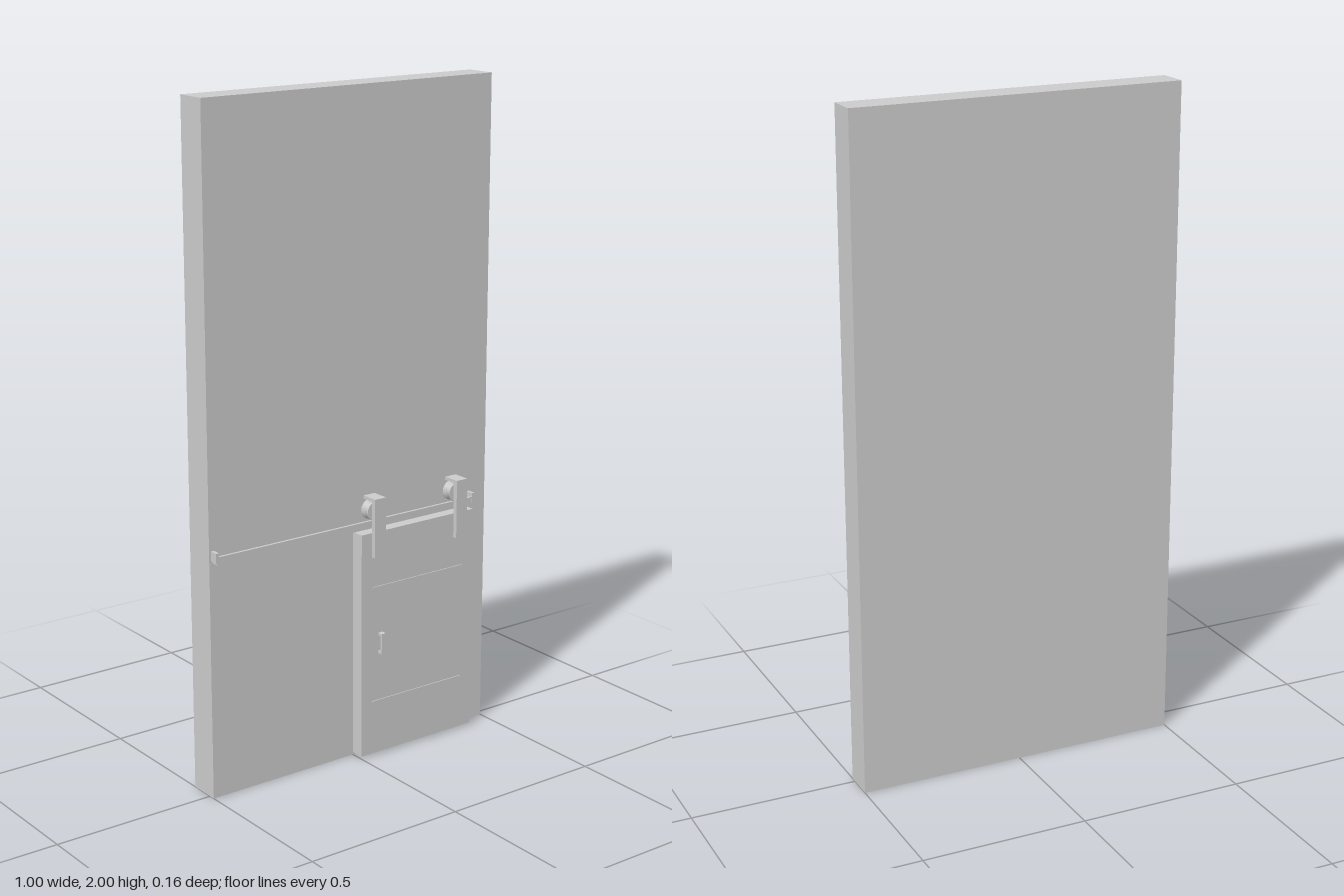
import * as THREE from 'three';

const material = new THREE.MeshStandardMaterial({ color: 0xcccccc });

// Box given by its minimum and maximum corner
function box(name, [x0, y0, z0], [x1, y1, z1]) {
  const mesh = new THREE.Mesh(new THREE.BoxGeometry(x1 - x0, y1 - y0, z1 - z0), material);
  mesh.name = name;
  mesh.position.set((x0 + x1) / 2, (y0 + y1) / 2, (z0 + z1) / 2);
  return mesh;
}

// Grooved wheel with its axis along z
function wheel(x, y, z) {
  const profile = [[0, -0.016], [0.03, -0.016], [0.03, -0.012], [0.021, -0.003],
    [0.021, 0.003], [0.03, 0.012], [0.03, 0.016], [0, 0.016]];
  const geometry = new THREE.LatheGeometry(profile.map(p => new THREE.Vector2(...p)), 32);
  geometry.rotateX(Math.PI / 2);
  const flat = geometry.toNonIndexed();
  flat.computeVertexNormals();
  const mesh = new THREE.Mesh(flat, material);
  mesh.name = 'rollerWheel';
  mesh.position.set(x, y, z);
  return mesh;
}

// Strap over the door top, carrying a wheel on an axle
function hanger(x) {
  const group = new THREE.Group();
  group.name = 'doorHanger';
  const w = 0.02, y = 0.766;
  group.add(box('strap', [x - w, 0.63, 0.06], [x + w, 0.81, 0.075]));
  group.add(box('strapTop', [x - w, 0.8, 0.02], [x + w, 0.81, 0.06]));
  group.add(wheel(x, y, 0.037));
  const axle = new THREE.Mesh(new THREE.CylinderGeometry(0.006, 0.006, 0.044, 16), material);
  axle.name = 'axle';
  axle.rotation.x = Math.PI / 2;
  axle.position.set(x, y, 0.042);
  group.add(axle);
  return group;
}

export function createModel() {
  const model = new THREE.Group();
  const wallFront = 0.019;

  model.add(box('wall', [-0.5, 0, -0.078], [0.5, 2, wallFront]));

  // Sliding door with two thin horizontal strips
  const door = new THREE.Group();
  door.name = 'slidingDoor';
  door.add(box('doorPanel', [0, 0.008, wallFront], [0.42, 0.705, 0.061]));
  for (const y of [0.175, 0.535]) {
    door.add(box('doorStrip', [0.04, y - 0.002, 0.061], [0.38, y + 0.002, 0.064]));
  }
  model.add(door);

  // Bow handle
  const handle = new THREE.Group();
  handle.name = 'doorHandle';
  handle.add(box('handleGrip', [0.062, 0.325, 0.072], [0.077, 0.39, 0.078]));
  for (const y of [0.325, 0.382]) {
    handle.add(box('handlePost', [0.062, y, 0.061], [0.077, y + 0.008, 0.072]));
  }
  model.add(handle);

  // Rail: a ledge fixed to the wall with an upright running lip
  const rail = new THREE.Group();
  rail.name = 'rail';
  rail.add(box('railLedge', [-0.49, 0.713, wallFront], [0.44, 0.719, 0.044]));
  rail.add(box('railLip', [-0.49, 0.719, 0.036], [0.44, 0.736, 0.044]));
  for (const x of [-0.49, 0.434]) {
    rail.add(box('railStop', [x - 0.004, 0.719, wallFront], [x + 0.006, 0.748, 0.045]));
  }
  model.add(rail);

  for (const x of [0.058, 0.365]) model.add(hanger(x));
  return model;
}
